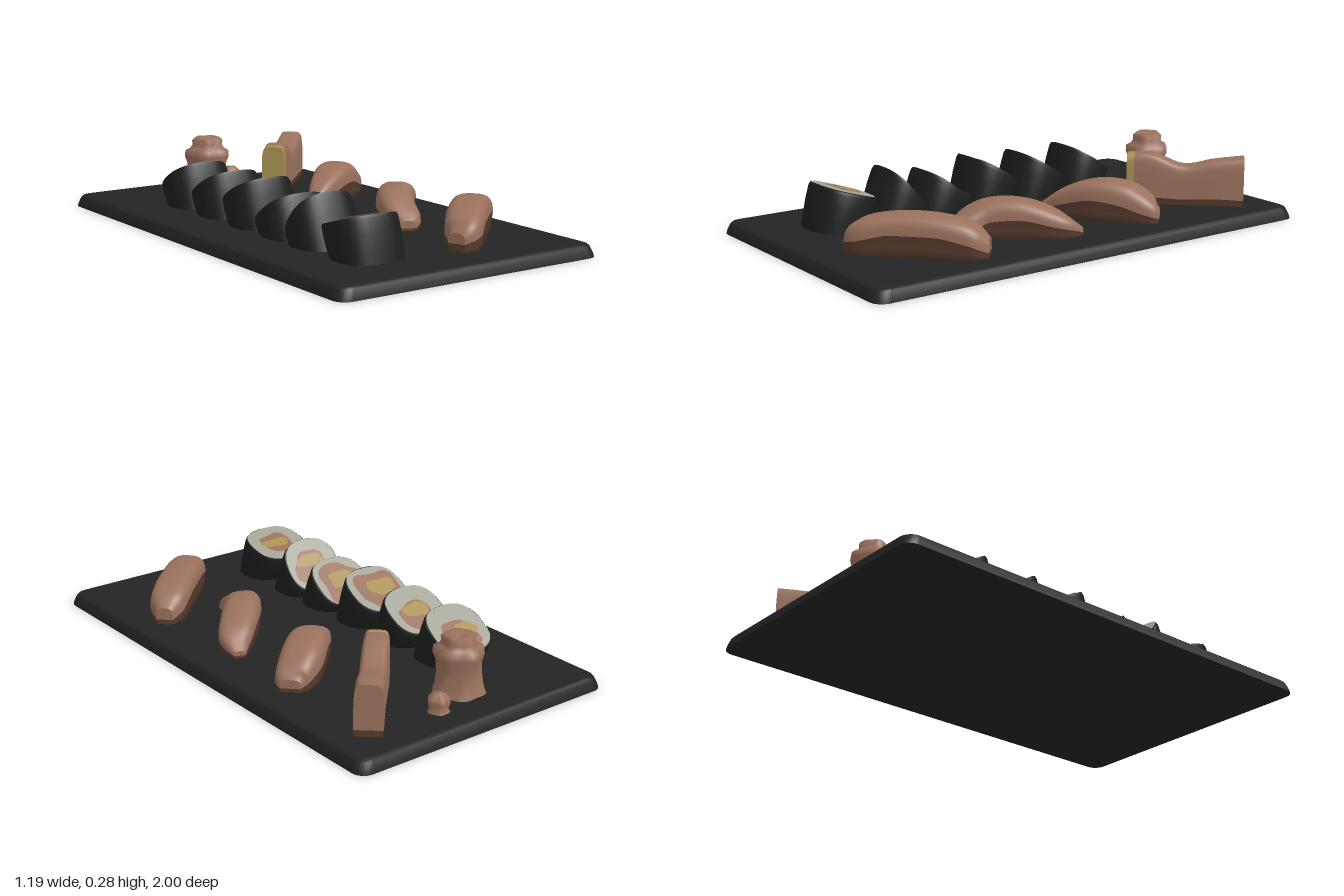
import * as THREE from 'three';

const mat = (name, color, side = THREE.FrontSide) => {
  const m = new THREE.MeshStandardMaterial({ color, side });
  m.name = name;
  return m;
};
const slate = mat('slate', 0x242424);
const nori = mat('seaweed', 0x1c1d1d);
const rice = mat('rice', 0xa3a396);
const salmon = mat('salmon', 0x9a715d, THREE.DoubleSide);
const shade = mat('dark brown', 0x573b2f, THREE.DoubleSide);
const egg = mat('egg yellow', 0xa99052, THREE.DoubleSide);

const V = (x, y, z) => new THREE.Vector3(x, y, z);

function add(parent, name, geometry, material) {
  const m = new THREE.Mesh(geometry, material);
  m.name = name;
  parent.add(m);
  return m;
}

// Skin through rings of points, with flat caps on both ends
function loft(rings, closed = true) {
  const n = rings[0].length, pos = [], idx = [];
  rings.forEach(r => r.forEach(p => pos.push(p.x, p.y, p.z)));
  for (let i = 0; i < rings.length - 1; i++)
    for (let j = 0; j < (closed ? n : n - 1); j++) {
      const k = (j + 1) % n, a = i * n + j, b = i * n + k;
      idx.push(a, b, b + n, a, b + n, a + n);
    }
  [rings[0], rings[rings.length - 1]].forEach((r, end) => {
    const c = r.reduce((s, p) => s.add(p), V(0, 0, 0)).divideScalar(n);
    const start = pos.length / 3;
    [c, ...r].forEach(p => pos.push(p.x, p.y, p.z));
    for (let j = 0; j < n; j++) {
      const a = start + 1 + j, b = start + 1 + (j + 1) % n;
      idx.push(start, end ? a : b, end ? b : a);
    }
  });
  const g = new THREE.BufferGeometry();
  g.setAttribute('position', new THREE.Float32BufferAttribute(pos, 3));
  g.setIndex(idx);
  g.computeVertexNormals();
  return g;
}

const spow = (v, p) => Math.sign(v) * Math.abs(v) ** p;

// Counter-clockwise squarish oval as pairs [x, y]
function oval(rx, ry, p = 0.8, n = 36) {
  return Array.from({ length: n }, (_, i) => {
    const a = i / n * Math.PI * 2;
    return [rx * spow(Math.cos(a), p), ry * spow(Math.sin(a), p)];
  });
}

// Board with rounded corners and a softened upper edge
function board() {
  const ring = (inset, y) => {
    const pts = [], r = 0.05;
    const w = 0.593 - inset, d = 1 - inset;
    [[1, 1], [-1, 1], [-1, -1], [1, -1]].forEach(([sx, sy], q) => {
      for (let i = 0; i <= 6; i++) {
        const a = (q + i / 6) * Math.PI / 2;
        pts.push(V(sx * (w - r) + r * Math.cos(a), y, -(sy * (d - r) + r * Math.sin(a))));
      }
    });
    return pts;
  };
  return loft([ring(0, 0), ring(0.003, 0.015), ring(0.012, 0.04), ring(0.018, 0.047), ring(0.03, 0.05)]);
}

// Thin wavy filling patch lying in a roll's face
function patch(cx, cy, rx, ry, wave, seed) {
  const pts = Array.from({ length: 28 }, (_, i) => {
    const a = i / 28 * Math.PI * 2;
    const k = 1 + wave * Math.sin(3 * a + seed) + wave * 0.5 * Math.sin(5 * a + seed * 2);
    return new THREE.Vector2(cx + rx * k * spow(Math.cos(a), 0.75), cy + ry * k * spow(Math.sin(a), 0.75));
  });
  return new THREE.ShapeGeometry(new THREE.Shape(pts));
}

// Leaning roll; back and front give the face's extent in z, salmonBox and eggBox are [x0, x1, z0, z1]
function roll({ back, front, peak, salmonBox, eggBox }, seed) {
  const g = new THREE.Group();
  g.name = 'sushiRoll';
  const cx = -0.256, rx = 0.134, ry = 0.124, zc = (back + front) / 2;
  const cos = Math.min(1, (front - back) / (2 * ry)), tilt = Math.acos(cos), sin = Math.sin(tilt);
  const yc = peak - ry * sin;
  const lean = tilt > 0.2 ? 0.05 : 0.006;
  const rings = [0, 0.3, 0.65, 0.93, 1].map(t => oval(1, 1).map(([u, v]) => {
    const s = 1 + 0.03 * Math.sin(t * Math.PI) - (t === 1 ? 0.03 : 0);
    const top = V(cx + u * rx * s, yc - v * ry * sin * s, zc - v * ry * cos * s);
    const base = V(cx + 0.004 + u * rx * s, 0.04, zc + lean - v * ry * 0.9 * s);
    return base.lerp(top, t);
  }));
  add(g, 'seaweedWrap', loft(rings), nori);
  // Face layers
  const face = new THREE.Group();
  face.name = 'rollFace';
  face.position.set(cx, yc, zc);
  face.rotation.x = -Math.PI / 2 - tilt;
  g.add(face);
  const layer = (name, [x0, x1, z0, z1], wave, material, lift) => {
    const m = add(face, name, patch((x0 + x1) / 2 - cx, -((z0 + z1) / 2 - zc) / cos,
      (x1 - x0) / 2, (z1 - z0) / 2 / cos, wave, seed), material);
    m.position.z = lift;
  };
  layer('riceFace', [cx - 0.126, cx + 0.126, zc - 0.117 * cos, zc + 0.117 * cos], 0.012, rice, 0.003);
  layer('salmonFilling', salmonBox, 0.1, salmon, 0.006);
  layer('eggFilling', eggBox, 0.1, egg, 0.009);
  return g;
}

// Slice swept along nodes [x, topY, z, halfWidth, bandY]; bandY splits dark foot from salmon top
function slice(name, nodes, p, eggEnd = 0) {
  const g = new THREE.Group();
  g.name = name;
  const path = new THREE.CatmullRomCurve3(nodes.map(n => V(n[0], n[1], n[2])));
  const size = new THREE.CatmullRomCurve3(nodes.map(n => V(n[3], n[4], 0)));
  const rings = (t0, t1, section) => Array.from({ length: 25 }, (_, i) => {
    const t = t0 + (t1 - t0) * i / 24, c = path.getPoint(t), s = size.getPoint(t);
    const d = path.getTangent(t).setY(0).normalize();
    return section(s.x, s.y, c.y).map(([u, y]) => V(c.x + d.z * u, y, c.z - d.x * u));
  });
  const dome = (w, band, top) => Array.from({ length: 19 }, (_, i) => {
    const a = i / 18 * Math.PI;
    return [w * spow(Math.cos(a), p), band + (top - band) * Math.sin(a) ** p];
  });
  const foot = (w, band) => [[-w, band], [-w * 0.93, (band + 0.04) / 2], [-w * 0.95, 0.04],
    [w * 0.95, 0.04], [w * 0.93, (band + 0.04) / 2], [w, band]];
  add(g, 'sliceTop', loft(rings(eggEnd, 1, dome), false), salmon);
  add(g, 'sliceFoot', loft(rings(0, 1, foot), false), shade);
  if (eggEnd) add(g, 'eggEnd', loft(rings(0, eggEnd, dome), false), egg);
  return g;
}

// Ruffled garnish: lathe whose radius ripples with angle
function garnish(name, profile, x, z, ripple) {
  const geo = new THREE.LatheGeometry(profile.map(([r, y]) => new THREE.Vector2(r, y)), 40);
  const p = geo.attributes.position;
  for (let i = 0; i < p.count; i++) {
    const px = p.getX(i), y = p.getY(i), pz = p.getZ(i), a = Math.atan2(pz, px);
    const k = 1 + ripple * Math.sin(5 * a + y * 14) + ripple * 0.6 * Math.sin(2 * a);
    p.setXYZ(i, px * k, y, pz * k);
  }
  geo.computeVertexNormals();
  const m = new THREE.Mesh(geo, salmon);
  m.name = name;
  m.position.set(x, 0, z);
  return m;
}

export function createModel() {
  const model = new THREE.Group();
  model.name = 'sushiPlatter';
  add(model, 'board', board(), slate);

  // Row of rolls, each leaning toward the back, the front one lying flat
  [
    { back: -0.645, front: -0.435, peak: 0.24, salmonBox: [-0.32, -0.16, -0.63, -0.51], eggBox: [-0.33, -0.23, -0.575, -0.525] },
    { back: -0.4, front: -0.19, peak: 0.24, salmonBox: [-0.32, -0.17, -0.38, -0.26], eggBox: [-0.31, -0.19, -0.325, -0.27] },
    { back: -0.16, front: 0.055, peak: 0.25, salmonBox: [-0.36, -0.16, -0.14, 0.025], eggBox: [-0.34, -0.21, -0.085, -0.015] },
    { back: 0.08, front: 0.28, peak: 0.225, salmonBox: [-0.35, -0.15, 0.095, 0.25], eggBox: [-0.34, -0.19, 0.155, 0.215] },
    { back: 0.3, front: 0.46, peak: 0.26, salmonBox: [-0.33, -0.16, 0.32, 0.42], eggBox: [-0.31, -0.18, 0.375, 0.41] },
    { back: 0.52, front: 0.757, peak: 0.225, salmonBox: [-0.32, -0.185, 0.57, 0.7], eggBox: [-0.31, -0.175, 0.61, 0.66] },
  ].forEach((r, i) => model.add(roll(r, i * 1.7)));

  // Brown patch on the front roll's side
  const strip = add(model, 'sidePatch',
    new THREE.CylinderGeometry(0.136, 0.136, 0.025, 16, 1, true, 0.1, 1.1), shade);
  strip.position.set(-0.252, 0.105, 0.641);

  // Draped fish slices
  model.add(slice('frontSlice', [[0.065, 0.12, 0.8, 0.035, 0.08], [0.11, 0.17, 0.78, 0.068, 0.1],
    [0.2, 0.2, 0.69, 0.076, 0.13], [0.32, 0.2, 0.575, 0.078, 0.13],
    [0.42, 0.17, 0.48, 0.072, 0.1], [0.46, 0.12, 0.44, 0.035, 0.07]], 0.65));
  model.add(slice('middleSlice', [[0.14, 0.09, 0.42, 0.03, 0.06], [0.16, 0.13, 0.375, 0.064, 0.075],
    [0.19, 0.185, 0.27, 0.075, 0.11], [0.28, 0.19, 0.16, 0.075, 0.12],
    [0.38, 0.14, 0.05, 0.064, 0.09], [0.41, 0.08, -0.025, 0.025, 0.06]], 0.7));
  model.add(slice('rearSlice', [[0.06, 0.1, -0.11, 0.02, 0.07], [0.13, 0.16, -0.16, 0.052, 0.1],
    [0.24, 0.205, -0.24, 0.077, 0.13], [0.34, 0.195, -0.325, 0.082, 0.11],
    [0.42, 0.14, -0.375, 0.065, 0.08], [0.44, 0.1, -0.395, 0.04, 0.065]], 0.65));

  // Upright bar with a dipped top and a yellow end
  model.add(slice('eggBar', [[0.115, 0.255, -0.5, 0.05, 0.08], [0.18, 0.26, -0.57, 0.053, 0.08],
    [0.275, 0.212, -0.67, 0.052, 0.075], [0.36, 0.235, -0.76, 0.054, 0.08],
    [0.44, 0.25, -0.85, 0.054, 0.075]], 0.35, 0.08));

  // Ruffled garnish and its small bud
  model.add(garnish('ruffledGarnish', [[0.1, 0.04], [0.088, 0.07], [0.08, 0.12], [0.08, 0.17], [0.09, 0.2],
    [0.088, 0.225], [0.07, 0.235], [0.06, 0.25], [0.062, 0.27], [0.05, 0.282], [0.022, 0.276], [0, 0.265]], -0.06, -0.76, 0.07));
  model.add(garnish('smallBud', [[0.045, 0.04], [0.032, 0.065], [0.04, 0.085], [0.038, 0.105],
    [0.02, 0.122], [0, 0.126]], 0.11, -0.845, 0.06));
  return model;
}
